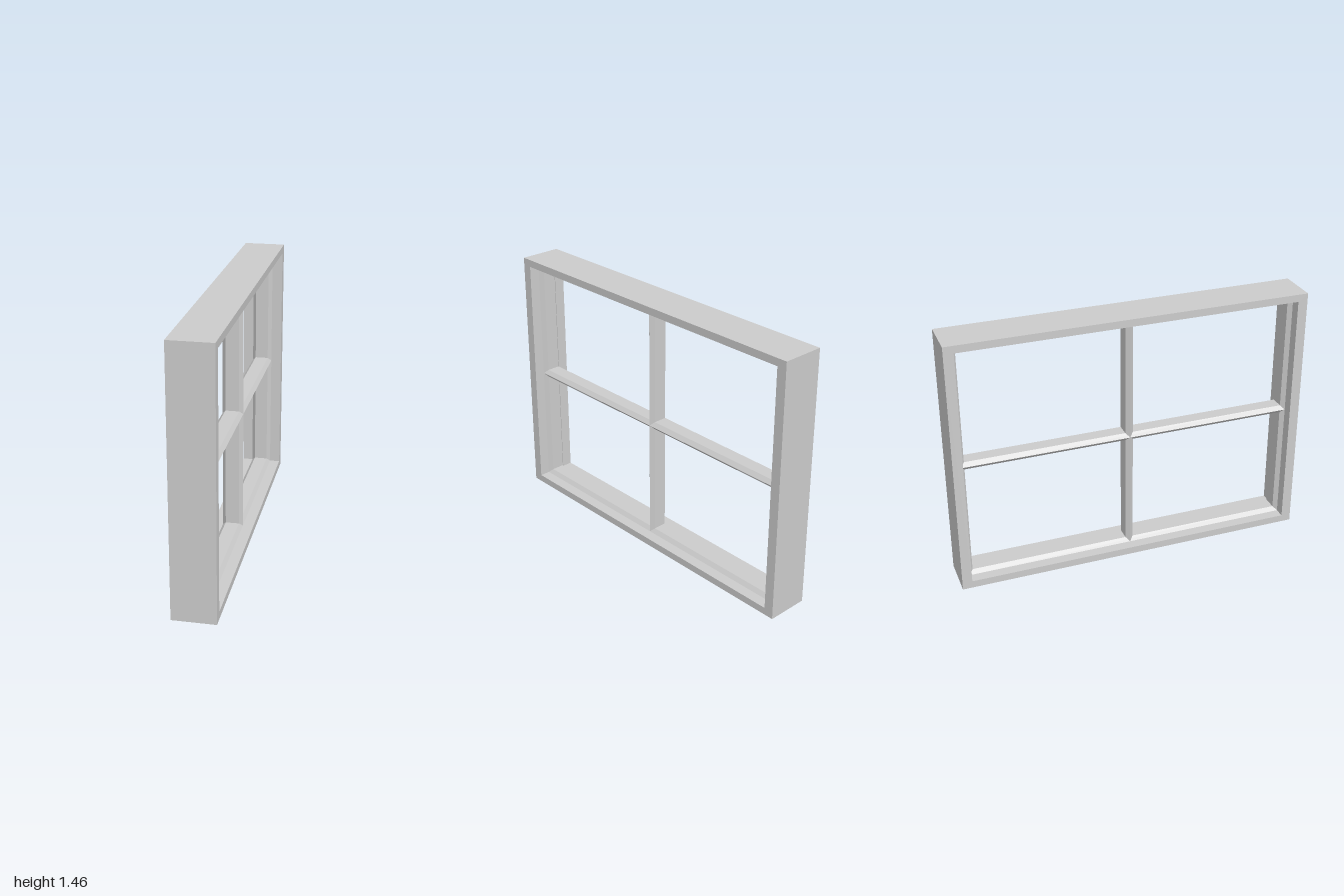
import * as THREE from 'three';

const HALF_Z = 1, HALF_Y = 0.7275, HALF_X = 0.118; // outer frame
const IN_Z = 0.945, IN_Y = 0.686;                  // frame opening
const BAR = 0.022, FLAT = 0.038, RIDGE = 0.058;    // glazing bar section

const material = new THREE.MeshStandardMaterial({ color: 0xcccccc, flatShading: true });

// Mitred rectangular ring: each section point is [halfZ, halfY, x]
function rectangularRing(name, section, closed) {
  const corners = [[1, -1], [-1, -1], [-1, 1], [1, 1]];
  const positions = [];
  const point = ([hz, hy, x], k) => {
    const [sz, sy] = corners[k % 4];
    return [x, HALF_Y + sy * hy, sz * hz];
  };
  const strips = closed ? section.length : section.length - 1;
  for (let i = 0; i < strips; i++) {
    const p = section[i], q = section[(i + 1) % section.length];
    for (let k = 0; k < 4; k++) {
      const a = point(p, k), b = point(p, k + 1), c = point(q, k + 1), d = point(q, k);
      positions.push(...a, ...b, ...c, ...a, ...c, ...d);
    }
  }
  const geometry = new THREE.BufferGeometry();
  geometry.setAttribute('position', new THREE.Float32BufferAttribute(positions, 3));
  geometry.computeVertexNormals();
  const mesh = new THREE.Mesh(geometry, material);
  mesh.name = name;
  return mesh;
}

// Six-sided bar with a ridge towards each face of the window, running along z
function glazingBar(name, length) {
  const shape = new THREE.Shape([
    [RIDGE, 0], [FLAT, BAR], [-FLAT, BAR], [-RIDGE, 0], [-FLAT, -BAR], [FLAT, -BAR],
  ].map(([x, y]) => new THREE.Vector2(x, y)));
  const geometry = new THREE.ExtrudeGeometry(shape, { depth: length, bevelEnabled: false });
  geometry.translate(0, 0, -length / 2);
  const mesh = new THREE.Mesh(geometry, material);
  mesh.name = name;
  mesh.position.y = HALF_Y;
  return mesh;
}

export function createModel() {
  const group = new THREE.Group();
  group.name = 'window';

  // Deep outer frame
  group.add(rectangularRing('outerFrame', [
    [HALF_Z, HALF_Y, HALF_X], [IN_Z, IN_Y, HALF_X],
    [IN_Z, IN_Y, -HALF_X], [HALF_Z, HALF_Y, -HALF_X],
  ], true));

  // Bevelled sash lining the opening
  group.add(rectangularRing('sash', [
    [IN_Z, IN_Y, RIDGE], [IN_Z - BAR, IN_Y - BAR, FLAT],
    [IN_Z - BAR, IN_Y - BAR, -FLAT], [IN_Z, IN_Y, -RIDGE],
  ], false));

  // Crossing glazing bars
  group.add(glazingBar('horizontalBar', 2 * IN_Z));
  const upright = glazingBar('verticalBar', 2 * IN_Y);
  upright.rotation.x = Math.PI / 2;
  group.add(upright);

  return group;
}
